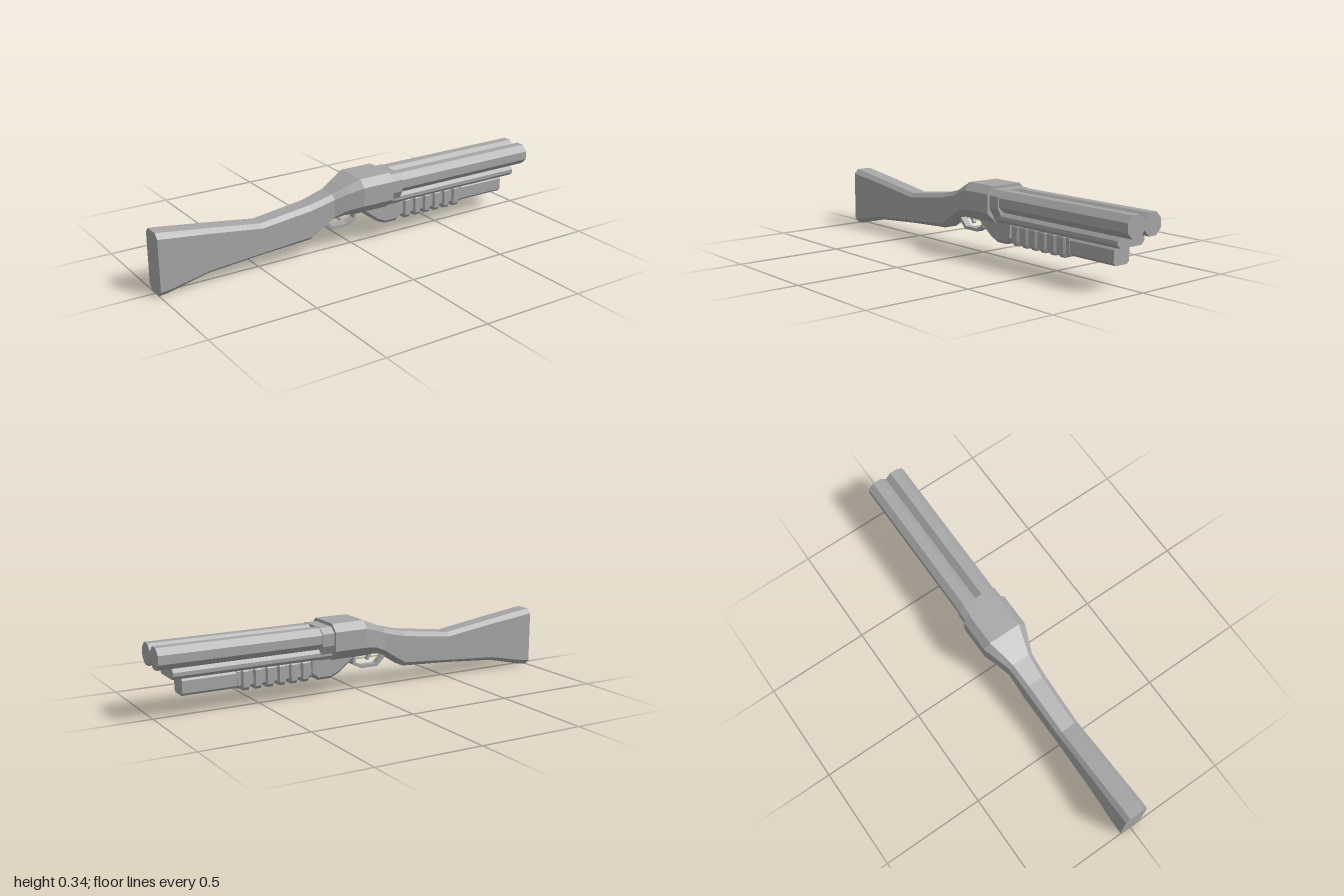
import * as THREE from 'three';

const grey = new THREE.MeshStandardMaterial({ color: 0xa6a6a6, flatShading: true });
grey.name = 'plain grey';

// Loft of chamfered eight-sided sections along x.
// Section: [x, yBottom, yLowerEdge, yUpperEdge, yTop, zBottom, zSide, zTop]
function loft(sections) {
  const pos = [], idx = [];
  for (const [x, yb, yl, yu, yt, zb, zm, zt] of sections) {
    const half = [[yb, zb], [yl, zm], [yu, zm], [yt, zt]];
    for (const [y, z] of half) pos.push(x, y, -z);
    for (const [y, z] of half.reverse()) pos.push(x, y, z);
  }
  const last = (sections.length - 1) * 8;
  for (let s = 0; s < last; s += 8) {
    for (let i = 0; i < 8; i++) {
      const a = s + i, b = s + (i + 1) % 8;
      idx.push(a, b, b + 8, a, b + 8, a + 8);
    }
  }
  for (let i = 1; i < 7; i++) idx.push(0, i + 1, i, last, last + i, last + i + 1);
  const g = new THREE.BufferGeometry();
  g.setAttribute('position', new THREE.Float32BufferAttribute(pos, 3));
  g.setIndex(idx);
  const flat = g.toNonIndexed();
  flat.computeVertexNormals();
  return flat;
}

// Straight bar with chamfered edges
const bar = (x0, x1, y0, y1, z, c) =>
  loft([x0, x1].map(x => [x, y0, y0 + c, y1 - c, y1, z - c, z, z - c]));

// Flat outline in xy, thickened evenly about z = 0
function plate(points, depth) {
  const shape = new THREE.Shape(points.map(p => new THREE.Vector2(...p)));
  return new THREE.ExtrudeGeometry(shape, { depth, bevelEnabled: false }).translate(0, 0, -depth / 2);
}

export function createModel() {
  const model = new THREE.Group();
  const add = (name, geometry) => {
    const mesh = new THREE.Mesh(geometry, grey);
    mesh.name = name;
    model.add(mesh);
    return mesh;
  };

  // Stock flowing into the receiver
  add('stockAndReceiver', loft([
    [-1, 0, 0.025, 0.268, 0.29, 0.036, 0.058, 0.036],
    [-0.955, 0.005, 0.028, 0.262, 0.285, 0.036, 0.058, 0.036],
    [-0.77, 0.048, 0.066, 0.24, 0.26, 0.034, 0.056, 0.036],
    [-0.5, 0.07, 0.086, 0.203, 0.222, 0.034, 0.054, 0.035],
    [-0.245, 0.085, 0.106, 0.234, 0.255, 0.034, 0.058, 0.037],
    [-0.13, 0.157, 0.178, 0.262, 0.284, 0.036, 0.064, 0.044],
    [-0.07, 0.168, 0.205, 0.285, 0.312, 0.045, 0.087, 0.06],
    [0, 0.168, 0.218, 0.307, 0.342, 0.06, 0.113, 0.08],
    [0.165, 0.168, 0.218, 0.307, 0.342, 0.06, 0.113, 0.08],
  ]));

  // Collar holding the barrels
  add('barrelCollar', loft([0.16, 0.225].map(x =>
    [x, 0.172, 0.245, 0.302, 0.328, 0.06, 0.102, 0.073])));

  // Twin octagonal barrels
  for (const side of [1, -1]) {
    const g = new THREE.CylinderGeometry(0.053, 0.053, 0.82, 8);
    g.rotateY(Math.PI / 8).rotateZ(Math.PI / 2);
    add(side > 0 ? 'leftBarrel' : 'rightBarrel', g).position.set(0.59, 0.277, side * 0.049);
  }
  add('barrelRib', bar(0.2, 0.975, 0.222, 0.242, 0.015, 0.006));

  // Rail and magazine under the barrels
  add('underRail', bar(0.165, 0.93, 0.178, 0.227, 0.079, 0.016));
  add('magazineTube', bar(0.2, 0.88, 0.094, 0.174, 0.046, 0.012));

  // Lower block with slanted ends
  add('lowerBlock', loft([
    [0.03, 0.165], [0.115, 0.1], [0.16, 0.08], [0.225, 0.08], [0.258, 0.104],
  ].map(([x, y]) => [x, y, y + 0.015, 0.182, 0.192, 0.047, 0.061, 0.055])));

  // Ribbed hand grip
  const grip = [];
  const gripSection = (x, grow) => grip.push(
    [x, 0.092 - grow, 0.107 - grow, 0.17, 0.184, 0.038 + grow, 0.05 + grow, 0.04 + grow]);
  gripSection(0.258, 0);
  for (let i = 0; i < 6; i++) {
    const x = 0.268 + i * 0.059;
    gripSection(x, 0);
    gripSection(x + 0.008, 0.01);
    gripSection(x + 0.036, 0.01);
    gripSection(x + 0.044, 0);
  }
  gripSection(0.625, 0);
  add('handGrip', loft(grip));

  // Trigger guard and trigger
  add('triggerGuard', plate([
    [-0.165, 0.145], [-0.115, 0.096], [-0.025, 0.096], [0.02, 0.12], [0.02, 0.18],
    [0.006, 0.18], [0.006, 0.129], [-0.03, 0.11], [-0.108, 0.11], [-0.148, 0.15],
  ], 0.034));
  add('trigger', plate([
    [-0.09, 0.18], [-0.083, 0.15], [-0.068, 0.128], [-0.06, 0.134],
    [-0.068, 0.152], [-0.066, 0.18],
  ], 0.018));

  return model;
}
